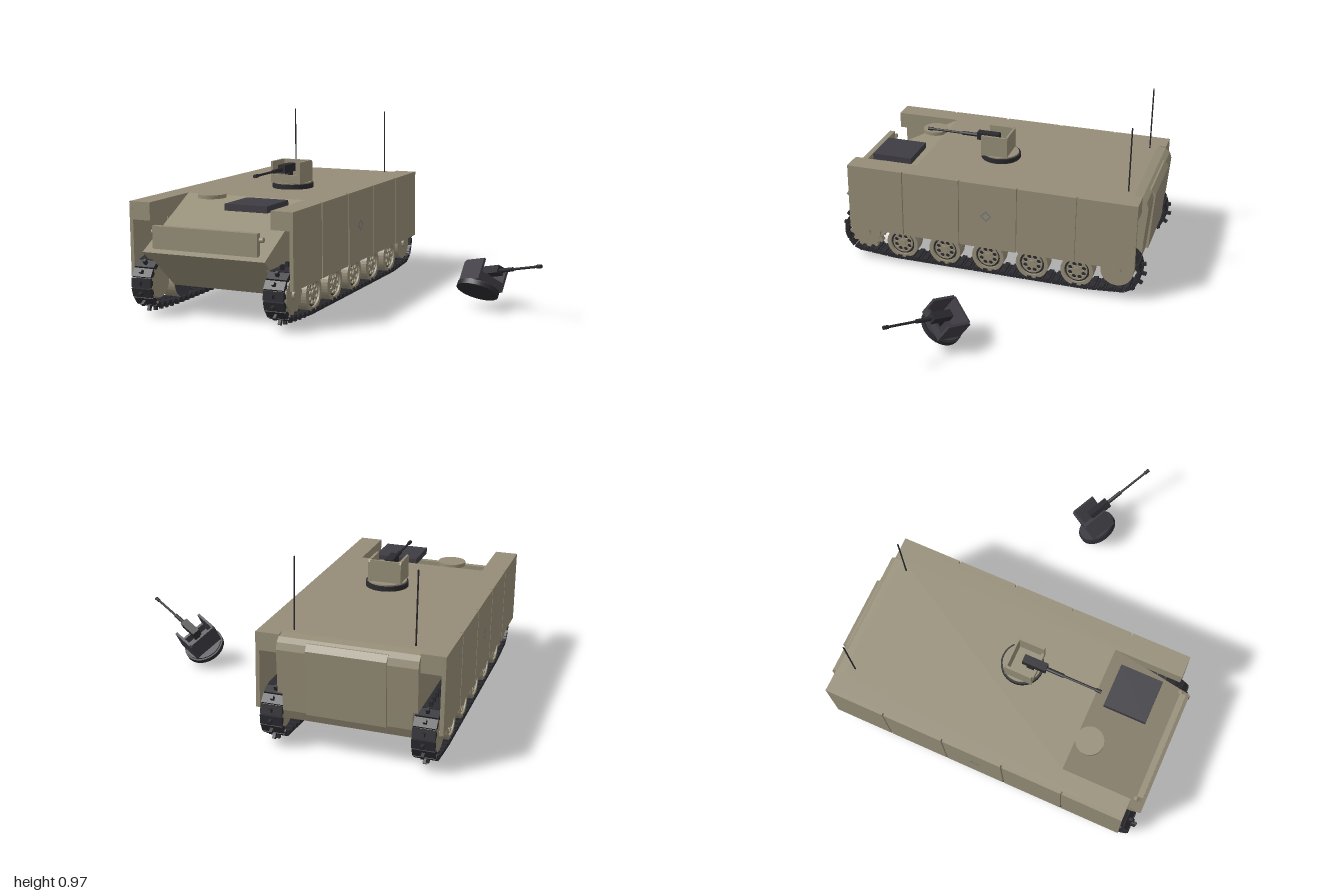
import * as THREE from 'three';
import { mergeGeometries } from 'three/addons/utils/BufferGeometryUtils.js';

const mat = (name, color) => Object.assign(new THREE.MeshStandardMaterial({ color }), { name });

export function createModel() {
  const olive = mat('olive armour', 0x958d77);
  const black = mat('track black', 0x2b2b30);
  const charcoal = mat('charcoal', 0x3f3d44);
  const grey = mat('marking grey', 0x777a7e);

  const model = new THREE.Group();
  model.name = 'model';
  const vehicle = new THREE.Group();
  vehicle.name = 'vehicle';
  vehicle.position.x = -0.53;
  model.add(vehicle);

  const add = (parent, name, geo, material, x = 0, y = 0, z = 0) => {
    const m = new THREE.Mesh(geo, material);
    m.name = name;
    m.position.set(x, y, z);
    parent.add(m);
    return m;
  };
  const box = (w, h, d) => new THREE.BoxGeometry(w, h, d);
  const drum = (r, w, n = 32) => new THREE.CylinderGeometry(r, r, w, n).rotateZ(Math.PI / 2);
  // Side profile of [z, y] points, extruded across x
  const slab = (pts, width, holes = []) => {
    const shape = new THREE.Shape(pts.map(([z, y]) => new THREE.Vector2(z, y)));
    shape.holes.push(...holes);
    const g = new THREE.ExtrudeGeometry(shape, { depth: width, bevelEnabled: false, curveSegments: 12 });
    return g.translate(0, 0, -width / 2).rotateY(-Math.PI / 2);
  };
  const circle = (r, n, z = 0, y = 0) => Array.from({ length: n }, (_, i) => {
    const a = (i / n) * Math.PI * 2;
    return [z + Math.cos(a) * r, y + Math.sin(a) * r];
  });

  // Hull: wide upper body, narrower tub between the tracks
  add(vehicle, 'upperHull', slab([
    [0.845, 0.292], [0.9, 0.34], [0.45, 0.585], [-0.8, 0.585], [-0.845, 0.576],
    [-0.872, 0.555], [-0.883, 0.52], [-0.865, 0.292]], 0.7), olive);
  add(vehicle, 'lowerHull', slab([
    [0.845, 0.292], [-0.865, 0.292], [-0.857, 0.2], [-0.835, 0.15], [-0.78, 0.125],
    [-0.7, 0.12], [0.65, 0.12]], 0.65), olive);
  add(vehicle, 'trimVane', box(0.6, 0.118, 0.032), olive, 0, 0.417, 0.866);
  for (const s of [-1, 1]) add(vehicle, 'vaneHinge', drum(0.014, 0.02, 12), olive, s * 0.31, 0.44, 0.85);
  add(vehicle, 'rearDoor', slab([
    [-0.85, 0.565], [-0.868, 0.565], [-0.893, 0.535], [-0.872, 0.2], [-0.85, 0.2]], 0.4), olive);

  // Hatches and antennas
  add(vehicle, 'roundHatch', new THREE.CylinderGeometry(0.075, 0.075, 0.02, 32), olive, -0.16, 0.59, 0.52);
  add(vehicle, 'engineHatch', box(0.24, 0.035, 0.235), charcoal, 0.165, 0.573, 0.628);
  for (const s of [-1, 1]) {
    add(vehicle, 'antenna', new THREE.CylinderGeometry(0.004, 0.004, 0.375, 8), black, s * 0.302, 0.768, -0.76);
  }

  // Track centre line: two end arcs joined by straight runs
  const path = new THREE.CurvePath();
  const pts = [];
  const arc = (zc, from, to) => {
    for (let i = 0; i <= 16; i++) {
      const a = from + ((to - from) * i) / 16;
      pts.push(new THREE.Vector3(0, 0.153 + Math.sin(a) * 0.126, zc + Math.cos(a) * 0.126));
    }
  };
  arc(0.745, Math.PI / 2, -Math.PI * 0.4);
  pts.push(new THREE.Vector3(0, 0.016, 0.57), new THREE.Vector3(0, 0.016, -0.57));
  arc(-0.745, -Math.PI * 0.6, -Math.PI * 1.5);
  pts.push(pts[0].clone());
  for (let i = 1; i < pts.length; i++) path.add(new THREE.LineCurve3(pts[i - 1], pts[i]));

  const makeTrack = () => {
    const count = 72, parts = [], pitch = path.getLength() / count;
    for (let i = 0; i < count; i++) {
      const p = path.getPointAt((i + 0.5) / count), t = path.getTangentAt((i + 0.5) / count);
      // local z runs along the track, local +y points outward
      const link = [
        box(0.114, 0.014, pitch * 0.92),
        box(0.054, 0.018, 0.026).translate(-0.03, 0.009, 0),
        box(0.054, 0.018, 0.026).translate(0.03, 0.009, 0),
        box(0.016, 0.03, 0.018).translate(0, -0.018, 0)];
      const along = t.clone().negate();
      const out = new THREE.Vector3().crossVectors(along, new THREE.Vector3(1, 0, 0));
      const m = new THREE.Matrix4().makeBasis(new THREE.Vector3(1, 0, 0), out, along).setPosition(p);
      // keep the links above the ground
      parts.push(mergeGeometries(link).applyMatrix4(m));
    }
    return mergeGeometries(parts).translate(0, 0.002, 0);
  };
  const trackGeo = makeTrack();

  // Road wheel parts
  const rimGeo = new THREE.LatheGeometry([
    [0.072, -0.042], [0.094, -0.042], [0.094, 0.042], [0.072, 0.042], [0.072, -0.042],
  ].map(([r, h]) => new THREE.Vector2(r, h)), 32).toNonIndexed();
  rimGeo.computeVertexNormals();
  rimGeo.rotateZ(Math.PI / 2);
  const plateGeo = slab(circle(0.06, 32), 0.01, Array.from({ length: 8 }, (_, i) => {
    const a = ((i + 0.5) / 8) * Math.PI * 2;
    return new THREE.Path(circle(0.013, 10, Math.cos(a) * 0.042, Math.sin(a) * 0.042)
      .map(([x, y]) => new THREE.Vector2(x, y)));
  }));
  // Toothed drive sprocket outline
  const teeth = Array.from({ length: 52 }, (_, i) => {
    const a = (i / 52) * Math.PI * 2, r = i % 4 < 2 ? 0.093 : 0.112;
    return [Math.cos(a) * r, Math.sin(a) * r];
  });
  const diamondGeo = new THREE.RingGeometry(0.022, 0.034, 4);

  for (const s of [-1, 1]) {
    const side = new THREE.Group();
    side.name = s > 0 ? 'leftSide' : 'rightSide';
    vehicle.add(side);

    // Sponson and skirt panels
    add(side, 'sponson', box(0.108, 0.095, 1.675), olive, s * 0.402, 0.5375, -0.01);
    for (let i = 0; i < 5; i++) {
      add(side, 'skirtPanel', box(0.02, 0.395, 0.328), olive, s * 0.46, 0.3875, 0.664 - i * 0.337);
      if (i < 4) add(side, 'skirtSeam', box(0.012, 0.39, 0.03), olive, s * 0.45, 0.387, 0.4955 - i * 0.337);
    }
    const mark = add(side, 'diamondMark', diamondGeo, grey, s * 0.4712, 0.39, 0);
    mark.rotation.y = (s * Math.PI) / 2;

    // Running gear
    add(side, 'track', trackGeo, black, s * 0.382, 0, 0);
    for (let i = 0; i < 5; i++) {
      const wheel = new THREE.Group();
      wheel.name = 'roadWheel';
      wheel.position.set(s * 0.39, 0.115, 0.52 - i * 0.26);
      side.add(wheel);
      add(wheel, 'wheelRim', rimGeo, olive);
      add(wheel, 'wheelDisc', drum(0.074, 0.056), black);
      add(wheel, 'wheelInnerFace', drum(0.09, 0.004), charcoal, -s * 0.042);
      add(wheel, 'wheelPlate', plateGeo, olive, s * 0.032);
      add(wheel, 'wheelHub', drum(0.02, 0.02, 16), olive, s * 0.034);
    }
    add(side, 'sprocket', slab(teeth, 0.03), olive, s * 0.405, 0.155, 0.745);
    add(side, 'sprocketDrum', drum(0.085, 0.08), olive, s * 0.39, 0.155, 0.745);
    add(side, 'idler', drum(0.092, 0.08), olive, s * 0.39, 0.155, -0.745);
    for (const z of [-0.745, 0.745]) add(side, 'endHub', drum(0.026, 0.02, 20), olive, s * 0.433, 0.155, z);
  }

  // Gun turret, origin at the centre of the ring's underside, gun along +z
  const makeTurret = (name, body, ring) => {
    const g = new THREE.Group();
    g.name = name;
    add(g, 'turretRing', new THREE.CylinderGeometry(0.114, 0.114, 0.026, 32), ring, 0, 0.013, 0);
    add(g, 'turretFloor', new THREE.CylinderGeometry(0.104, 0.104, 0.008, 32), body, 0, 0.029, 0);
    for (const s of [-1, 1]) {
      add(g, 'sidePlate', slab([
        [0.092, 0.03], [0.092, 0.15], [-0.05, 0.15], [-0.062, 0.138], [-0.062, 0.03]], 0.014), body, s * 0.083, 0, 0);
    }
    add(g, 'backPlate', box(0.16, 0.118, 0.012), body, 0, 0.09, -0.054);
    add(g, 'frontBar', box(0.16, 0.045, 0.016), body, 0, 0.055, 0.084);
    add(g, 'gunCradle', box(0.03, 0.08, 0.04), ring, 0, 0.07, 0.05);
    add(g, 'receiver', box(0.044, 0.044, 0.13), ring, 0, 0.115, 0.075);
    const tube = (n, r, z0, z1) => add(g, n,
      new THREE.CylinderGeometry(r, r, z1 - z0, 12).rotateX(Math.PI / 2), ring, 0, 0.113, (z0 + z1) / 2);
    tube('barrelJacket', 0.011, 0.13, 0.235);
    tube('barrel', 0.0065, 0.23, 0.44);
    tube('muzzle', 0.01, 0.415, 0.445);
    return g;
  };
  const turret = makeTurret('turret', olive, black);
  turret.position.set(0.075, 0.585, 0.035);
  vehicle.add(turret);

  // Separate tilted turret beside the vehicle
  const spare = makeTurret('spareTurret', charcoal, black);
  const fwd = new THREE.Vector3(0.84, 0.24, 0.485).normalize();
  const right = new THREE.Vector3().crossVectors(new THREE.Vector3(0.09, 0.82, -0.56), fwd).normalize();
  const up = new THREE.Vector3().crossVectors(fwd, right);
  spare.setRotationFromMatrix(new THREE.Matrix4().makeBasis(right, up, fwd));
  spare.position.set(0.625, 0.08, 0.025);
  model.add(spare);

  return model;
}
